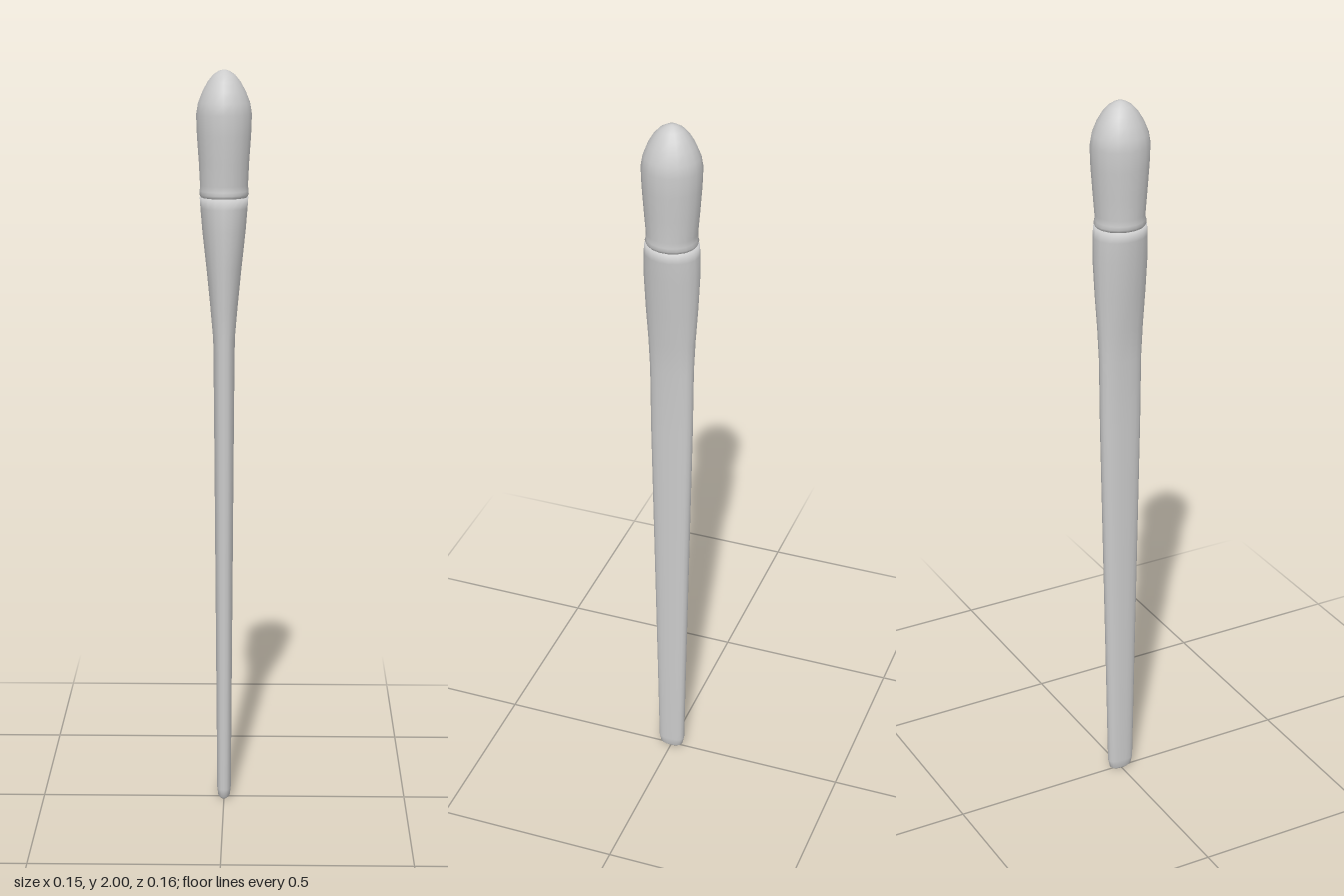
import * as THREE from 'three';

const SIDES = 18;

// Closed loft through rows of [y, half width x, half depth z, roundness exponent], bottom to top
function loft(rows) {
  const pos = [], idx = [];
  const bend = (v, n) => Math.sign(v) * Math.pow(Math.abs(v), 2 / n);
  rows.forEach(([y, rx, rz, n = 2]) => {
    for (let i = 0; i < SIDES; i++) {
      const a = (i / SIDES) * Math.PI * 2;
      pos.push(rx * bend(Math.sin(a), n), y, rz * bend(Math.cos(a), n));
    }
  });
  for (let r = 0; r < rows.length - 1; r++) {
    for (let i = 0; i < SIDES; i++) {
      const j = (i + 1) % SIDES;
      const a = r * SIDES + i, b = r * SIDES + j, c = a + SIDES, d = b + SIDES;
      idx.push(a, b, d, a, d, c);
    }
  }
  // end caps
  const last = (rows.length - 1) * SIDES, base = pos.length / 3;
  pos.push(0, rows[0][0], 0, 0, rows[rows.length - 1][0], 0);
  for (let i = 0; i < SIDES; i++) {
    const j = (i + 1) % SIDES;
    idx.push(base, j, i, base + 1, last + i, last + j);
  }
  const g = new THREE.BufferGeometry();
  g.setAttribute('position', new THREE.Float32BufferAttribute(pos, 3));
  g.setIndex(idx);
  g.computeVertexNormals();
  return g;
}

export function createModel() {
  const group = new THREE.Group();
  const material = new THREE.MeshStandardMaterial({ color: 0xcccccc });
  const add = (name, rows) => {
    const mesh = new THREE.Mesh(loft(rows), material);
    mesh.name = name;
    group.add(mesh);
  };

  // flat handle that swells into a round ferrule
  add('handle', [
    [0, 0.010, 0.022, 2.3],
    [0.007, 0.016, 0.032, 2.4],
    [0.03, 0.019, 0.037, 2.5],
    [0.3, 0.021, 0.042, 2.5],
    [0.7, 0.024, 0.050, 2.5],
    [1.1, 0.027, 0.058, 2.5],
    [1.29, 0.029, 0.060, 2.4],
    [1.38, 0.037, 0.064, 2.2],
    [1.48, 0.047, 0.071],
    [1.58, 0.058, 0.075],
    [1.64, 0.063, 0.074],
    [1.668, 0.065, 0.071],
  ]);

  // soft domed bristle head with a rolled lower edge
  add('bristles', [
    [1.662, 0.052, 0.057],
    [1.668, 0.061, 0.066],
    [1.676, 0.066, 0.070],
    [1.685, 0.065, 0.067],
    [1.70, 0.064, 0.067],
    [1.76, 0.067, 0.072],
    [1.83, 0.072, 0.077],
    [1.885, 0.074, 0.079],
    [1.915, 0.069, 0.074],
    [1.945, 0.057, 0.062],
    [1.97, 0.043, 0.047],
    [1.987, 0.029, 0.032],
    [1.997, 0.014, 0.015],
    [2, 0.004, 0.004],
  ]);

  return group;
}
